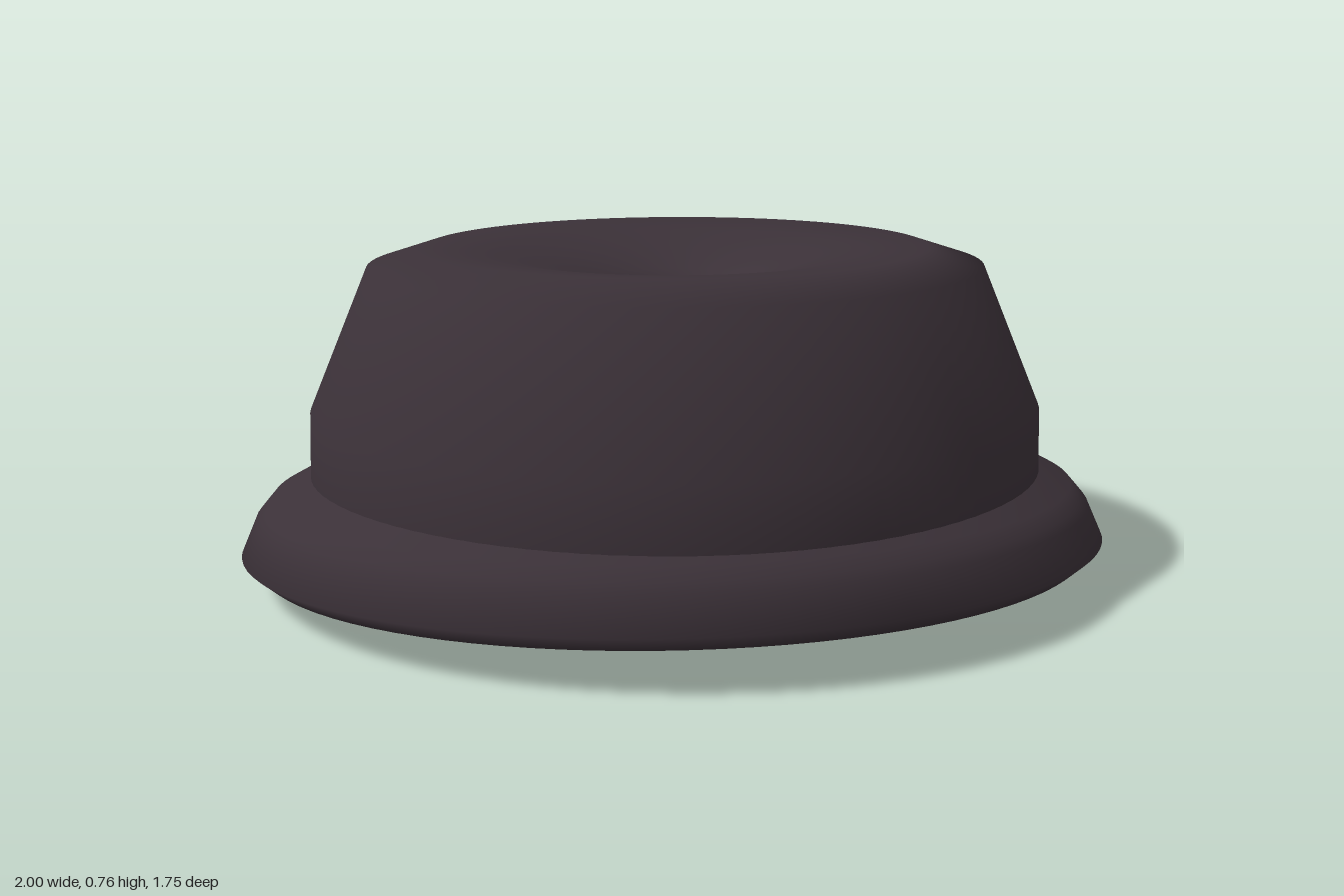
import * as THREE from 'three';

// Oval lathe from a half profile of [radius, height], listed bottom to top.
function ovalLathe(name, profile, depthScale, material) {
  const points = profile.map(([r, y]) => new THREE.Vector2(r, y));
  const geometry = new THREE.LatheGeometry(points, 96);
  geometry.scale(1, 1, depthScale);
  const mesh = new THREE.Mesh(geometry, material);
  mesh.name = name;
  return mesh;
}

export function createModel() {
  const felt = new THREE.MeshStandardMaterial({ color: 0x3b3138, side: THREE.DoubleSide });
  felt.name = 'dark felt';

  const hat = new THREE.Group();
  hat.name = 'ovalCap';

  // Crown: tapering wall, bevelled shoulder and a dished top falling to a small hole
  hat.add(ovalLathe('crown', [
    [0.84, 0.25], [0.835, 0.4], [0.7, 0.72], [0.575, 0.76],
    [0.42, 0.745], [0.28, 0.715], [0.18, 0.68], [0.125, 0.65],
    [0.07, 0.58], [0.02, 0.48],
  ], 0.93, felt));

  // Brim: flared ring with a turned-in lower lip, tipped down at the back
  const brim = ovalLathe('brim', [
    [0.925, 0.07], [0.96, 0.047], [1.0, 0.08], [0.965, 0.16],
    [0.95, 0.178], [0.925, 0.207], [0.81, 0.268],
  ], 0.877, felt);
  brim.rotation.x = -0.054;
  hat.add(brim);

  return hat;
}
